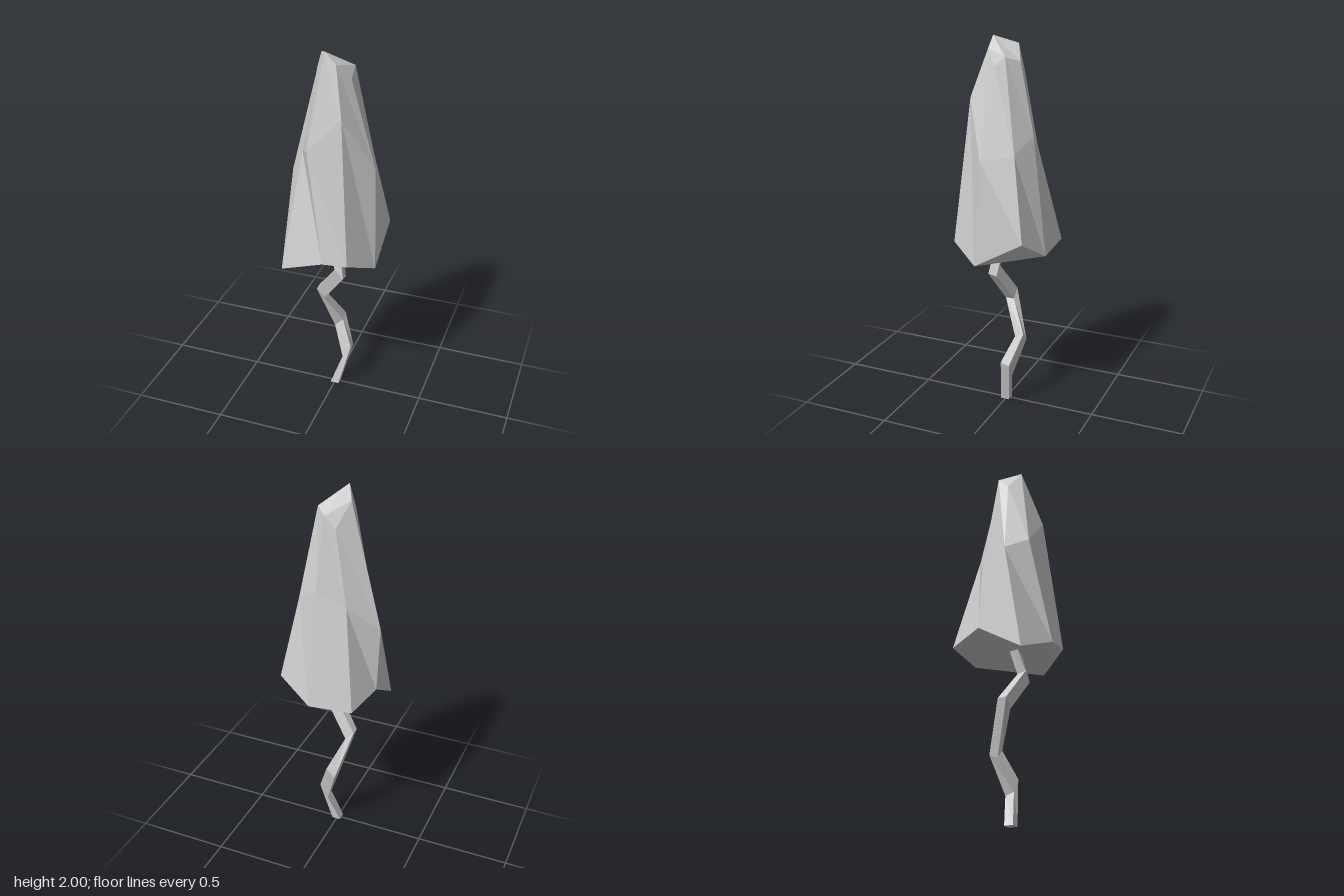
import * as THREE from 'three';

const material = new THREE.MeshStandardMaterial({ color: 0xcccccc, flatShading: true });

// Skins a stack of rings (bottom to top, counterclockwise from above) and closes both ends
function loft(name, rings, bottomFaces, topFaces) {
  const n = rings[0].length;
  const index = [];
  for (let r = 0; r < rings.length - 1; r++) {
    for (let i = 0; i < n; i++) {
      const j = (i + 1) % n, lo = r * n, hi = lo + n;
      index.push(lo + i, lo + j, hi + i, lo + j, hi + j, hi + i);
    }
  }
  const last = (rings.length - 1) * n;
  index.push(...bottomFaces.flat(), ...topFaces.flat().map((i) => i + last));
  const indexed = new THREE.BufferGeometry();
  indexed.setAttribute('position', new THREE.Float32BufferAttribute(rings.flat(2), 3));
  indexed.setIndex(index);
  const geometry = indexed.toNonIndexed();
  geometry.computeVertexNormals();
  const mesh = new THREE.Mesh(geometry, material);
  mesh.name = name;
  return mesh;
}

// Tall faceted cap: jagged rim, shoulder and slanted tip
function createCap() {
  const rim = [
    [0.01, 0.93, 0.24], [0.143, 0.94, 0.24], [0.245, 0.86, 0.077], [0.245, 1.01, -0.185],
    [0.062, 0.9, -0.243], [-0.179, 0.92, -0.243], [-0.24, 0.97, -0.058], [-0.238, 0.82, 0.183],
  ];
  const shoulder = [
    [-0.095, 1.51, 0.163], [0.085, 1.7, 0.163], [0.227, 1.41, 0.05], [0.165, 1.44, -0.11],
    [0.046, 1.52, -0.165], [-0.1, 1.44, -0.13], [-0.247, 1.31, -0.035], [-0.16, 1.46, 0.05],
  ];
  const tip = [
    [-0.025, 2.0, 0.086], [0.033, 1.94, 0.088], [0.091, 1.86, 0.03], [0.091, 1.91, -0.03],
    [0.033, 1.885, -0.087], [-0.025, 1.83, -0.087], [-0.083, 1.96, -0.03], [-0.083, 1.9, 0.03],
  ];
  const underside = [[4, 3, 2], [5, 4, 2], [6, 5, 2], [0, 6, 2], [2, 1, 0], [0, 7, 6]];
  const crown = [[0, 3, 4], [0, 4, 6], [4, 5, 6], [0, 6, 7], [0, 1, 3], [1, 2, 3]];
  return loft('cap', [rim, shoulder, tip], underside, crown);
}

// Crooked square stem: centre of each joint, then its tilt along x and z
function createStem() {
  const half = 0.024;
  const joints = [
    [0.002, 0, 0.002, 0, 0],
    [0.065, 0.21, -0.025, 1.6, 0.3],
    [0.0, 0.38, -0.082, 1.0, -0.4],
    [-0.076, 0.605, 0.005, -1.0, 0],
    [0.045, 0.775, 0.055, -1.0, 0.2],
    [0.01, 0.94, 0.02, 0, 0],
  ];
  const corners = [[-1, 1], [1, 1], [1, -1], [-1, -1]];
  const rings = joints.map(([x, y, z, tiltX, tiltZ]) => corners.map(([cx, cz]) => [
    x + cx * half,
    y + (cx * tiltX + cz * tiltZ) * half,
    z + cz * half,
  ]));
  return loft('stem', rings, [[2, 1, 0], [3, 2, 0]], [[0, 1, 2], [0, 2, 3]]);
}

export function createModel() {
  const group = new THREE.Group();
  group.name = 'mushroom';
  group.add(createCap(), createStem());
  return group;
}
